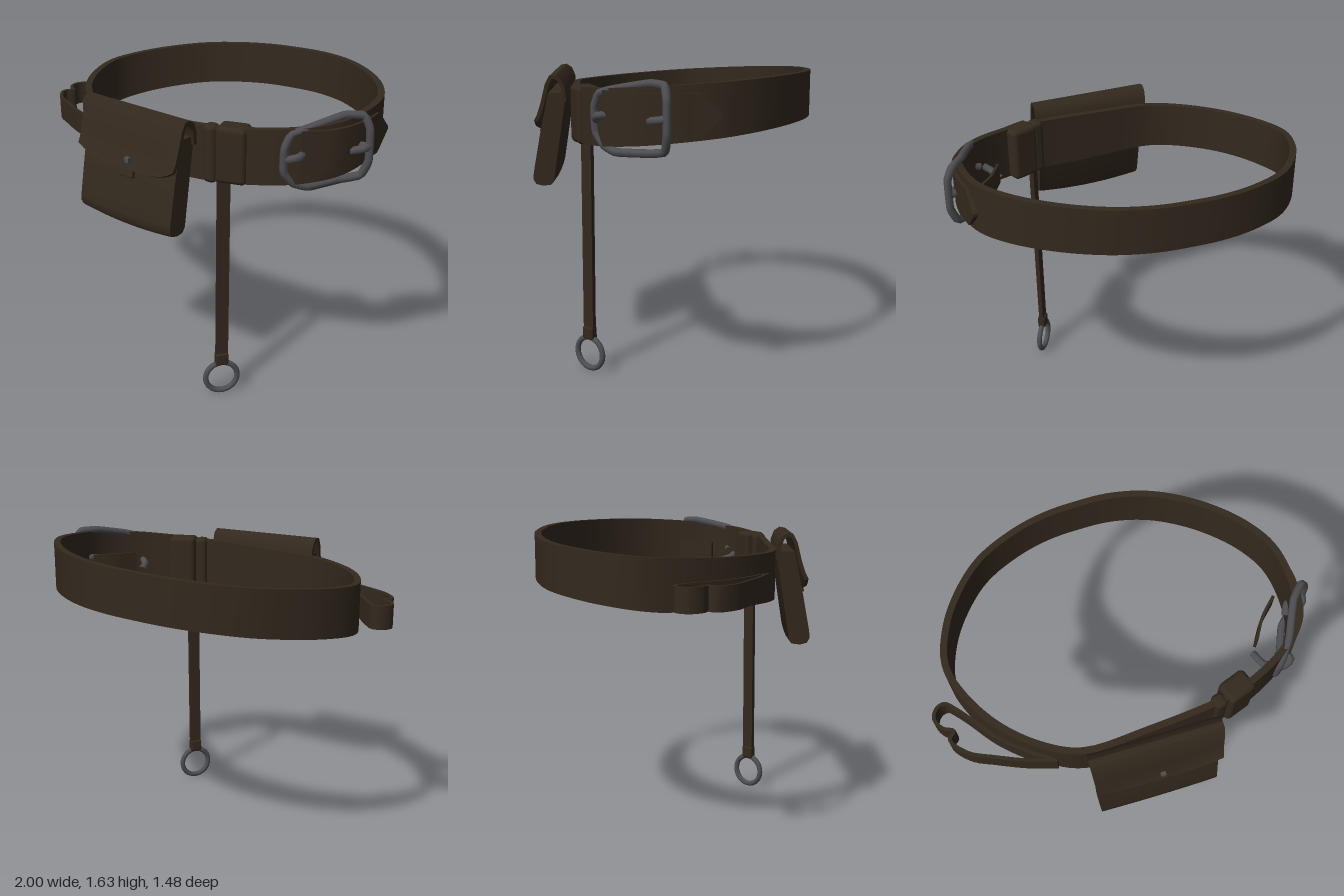
import * as THREE from 'three';
import { toCreasedNormals } from 'three/addons/utils/BufferGeometryUtils.js';
import { RoundedBoxGeometry } from 'three/addons/geometries/RoundedBoxGeometry.js';

const leather = new THREE.MeshStandardMaterial({ color: 0x33291e });
leather.name = 'dark brown leather';
const metal = new THREE.MeshStandardMaterial({ color: 0x4e4e52 });
metal.name = 'dark grey metal';

const V = (x, y, z) => new THREE.Vector3(x, y, z);

function part(name, geometry, material, x = 0, y = 0, z = 0) {
  const mesh = new THREE.Mesh(geometry, material);
  mesh.name = name;
  mesh.position.set(x, y, z);
  return mesh;
}

// Skin a series of equal-length rings into a solid; faces are turned outward by signed volume
function loft(rings, closed = false) {
  const tris = [];
  const n = rings[0].length;
  const count = closed ? rings.length : rings.length - 1;
  for (let i = 0; i < count; i++) {
    const a = rings[i], b = rings[(i + 1) % rings.length];
    for (let j = 0; j < n; j++) {
      const k = (j + 1) % n;
      tris.push([a[j], b[j], b[k]], [a[j], b[k], a[k]]);
    }
  }
  if (!closed) {
    const cap = (ring, flip) => {
      const pts = ring.map((p) => new THREE.Vector2(p.z, p.y));
      const wound = THREE.ShapeUtils.area(pts) > 0;
      for (const [i, j, k] of THREE.ShapeUtils.triangulateShape(pts, [])) {
        // Keep cap winding in step with the ring's own order
        const left = pts[j].clone().sub(pts[i]).cross(pts[k].clone().sub(pts[i])) > 0;
        const [p, q, r] = [ring[i], ring[j], ring[k]];
        tris.push((left === wound) === flip ? [p, r, q] : [p, q, r]);
      }
    };
    cap(rings[0], false);
    cap(rings[rings.length - 1], true);
  }
  let volume = 0;
  for (const [a, b, c] of tris) volume += a.dot(b.clone().cross(c));
  const pos = [];
  for (const [a, b, c] of tris) {
    for (const p of volume < 0 ? [a, c, b] : [a, b, c]) pos.push(p.x, p.y, p.z);
  }
  const g = new THREE.BufferGeometry();
  g.setAttribute('position', new THREE.Float32BufferAttribute(pos, 3));
  return toCreasedNormals(g, 0.7);
}

// Upright leather strip following a plan path of [x, z]; span gives its [bottom, top]
function strip(path, thick, steps, span, closed = false) {
  const curve = new THREE.CatmullRomCurve3(path.map(([x, z]) => V(x, 0, z)), closed);
  const rings = [];
  for (let i = 0; i < (closed ? steps : steps + 1); i++) {
    const t = i / steps;
    const p = curve.getPoint(t), d = curve.getTangent(t);
    const nx = -d.z * thick / 2, nz = d.x * thick / 2;
    const [lo, hi] = span(p, t);
    rings.push([V(p.x + nx, lo, p.z + nz), V(p.x + nx, hi, p.z + nz),
      V(p.x - nx, hi, p.z - nz), V(p.x - nx, lo, p.z - nz)]);
  }
  return loft(rings, closed);
}

// Offset an open [z, y] profile inward to give it thickness
function thicken(profile, t) {
  const inner = profile.map(([z, y], i) => {
    const a = profile[Math.max(i - 1, 0)], b = profile[Math.min(i + 1, profile.length - 1)];
    const dz = b[0] - a[0], dy = b[1] - a[1], l = Math.hypot(dz, dy);
    return [z + dy / l * t, y - dz / l * t];
  });
  return [...profile, ...inner.reverse()];
}

function tube(points, radius, closed) {
  const curve = new THREE.CatmullRomCurve3(points.map((p) => V(...p)), closed, 'catmullrom', 0.2);
  return new THREE.TubeGeometry(curve, closed ? 72 : 24, radius, 8, closed);
}

export function createModel() {
  const model = new THREE.Group();
  model.name = 'belt with pouch';

  // Main belt, slightly tilted up towards the back and left
  const top = (p) => 1.556 + 0.055 * p.x - 0.06 * p.z;
  const bottom = (p) => Math.max(1.25, 1.292 + 0.05 * p.x - 0.095 * p.z);
  const loop = [[0, -0.72], [0.17, -0.712], [0.35, -0.668], [0.505, -0.593], [0.65, -0.49], [0.785, -0.355],
    [0.88, -0.195], [0.908, 0], [0.88, 0.18], [0.77, 0.325], [0.6, 0.425], [0.4, 0.488], [0, 0.525],
    [-0.33, 0.53], [-0.5, 0.452], [-0.68, 0.295], [-0.81, 0.09], [-0.86, -0.09], [-0.805, -0.285],
    [-0.7, -0.445], [-0.555, -0.58], [-0.35, -0.672], [-0.17, -0.712]];
  model.add(part('beltStrap', strip(loop, 0.035, 115, (p) => [bottom(p), top(p)], true), leather));

  // Pointed free end lying over the belt, and the folded end inside the buckle
  const tongue = [[0.79, 0.335], [0.9, 0.19], [0.93, 0], [0.92, -0.1], [0.915, -0.215]];
  model.add(part('beltTip', strip(tongue, 0.025, 24, (p, t) => {
    const k = t < 0.8 ? 1 : 1 - (t - 0.8) / 0.2 * 0.92;
    return [1.465 - 0.105 * k, 1.465 + 0.105 * k];
  }), leather));
  model.add(part('buckleFold', strip([[0.67, 0.22], [0.74, 0.11], [0.83, 0.02]], 0.015, 10,
    () => [1.37, 1.48]), leather));

  // Buckle frame with a looped prong on each end bar
  const buckle = new THREE.Group();
  buckle.name = 'buckle';
  buckle.add(part('buckleFrame', tube([[0.75, 1.3, 0.34], [0.725, 1.36, 0.38], [0.73, 1.48, 0.385],
    [0.75, 1.55, 0.36], [0.8, 1.575, 0.29], [0.88, 1.61, 0.12], [0.945, 1.605, 0.05], [0.978, 1.54, 0.04],
    [0.98, 1.38, 0.04], [0.945, 1.3, 0.05], [0.87, 1.28, 0.12], [0.8, 1.275, 0.28]], 0.021, true), metal));
  const prongs = [
    [[0.65, 1.37, 0.25], [0.68, 1.39, 0.33], [0.75, 1.43, 0.38], [0.8, 1.45, 0.365], [0.79, 1.45, 0.32],
      [0.74, 1.43, 0.32]],
    [[0.86, 1.44, 0.13], [0.89, 1.45, 0.07], [0.975, 1.455, 0.045], [0.97, 1.45, 0.08], [0.92, 1.44, 0.12]],
  ];
  for (const p of prongs) buckle.add(part('buckleProng', tube(p, 0.02, false), metal));
  model.add(buckle);

  // Keeper loops wrapped around the belt
  const keepers = [[0.475, 1.415, 0.448, 0.155, 0.29, 0.12, 0.35], [0.37, 1.405, 0.49, 0.07, 0.3, 0.075, 0.2]];
  for (const [x, y, z, w, h, d, turn] of keepers) {
    const k = part('beltKeeper', new RoundedBoxGeometry(w, h, d, 3, 0.025), leather, x, y, z);
    k.rotation.y = turn;
    model.add(k);
  }

  // Pouch body and flap, lofted across x
  const pouch = new THREE.Group();
  pouch.name = 'pouch';
  const across = Array.from({ length: 17 }, (_, i) => -1 + i / 8);
  const bodyProfile = [[0.558, 1.5], [0.652, 1.5], [0.7, 1.28], [0.738, 1.08], [0.74, 1.045], [0.727, 1.02],
    [0.69, 1.01], [0.65, 1.015], [0.632, 1.04]];
  pouch.add(part('pouchBody', loft(across.map((u) => bodyProfile.map(([z, y]) =>
    V(0.005 + u * 0.312, y < 1.1 ? y - 0.02 * (1 - u * u) : y, z)))), leather));
  pouch.add(part('pouchFlap', loft(across.map((u) => {
    const end = 1.3 + 0.06 * u ** 4;
    const ring = thicken([[0.556, 1.46], [0.562, 1.53], [0.58, 1.575], [0.61, 1.595], [0.642, 1.59],
      [0.664, 1.55], [0.69, 1.45], [0.71, end + 0.03], [0.726, end]], 0.02);
    return ring.map(([z, y]) => V(0.005 + u * 0.334 * (1 - 0.12 * (1.59 - y)), y, z));
  })), leather));
  const tab = part('pouchTab', new RoundedBoxGeometry(0.09, 0.06, 0.02, 1, 0.006), leather, 0.015, 1.287, 0.715);
  tab.rotation.x = -0.2;
  pouch.add(tab);
  pouch.add(part('pouchStud', new THREE.BoxGeometry(0.026, 0.026, 0.02), metal, 0.02, 1.346, 0.715));
  model.add(pouch);

  // Side strap curling into a loop and back along the right of the belt
  const curl = [[-0.46, 0.51], [-0.6, 0.465], [-0.75, 0.4], [-0.87, 0.34], [-0.94, 0.25], [-0.91, 0.21],
    [-0.96, 0.18], [-0.99, 0.12], [-0.965, 0.07], [-0.92, 0.058], [-0.875, 0.1], [-0.83, 0.155],
    [-0.72, 0.3], [-0.59, 0.42], [-0.48, 0.495]];
  model.add(part('sideLoop', strip(curl, 0.018, 84, (p) => {
    const y = 1.325 + 0.015 * Math.min(1, Math.max(0, (p.x + 1) / 0.5));
    return [y - 0.062, y + 0.062];
  }), leather));

  // Hanging strap with a ring at its end
  const hanger = new THREE.Group();
  hanger.name = 'hangingStrap';
  const strap = part('strap', new THREE.BoxGeometry(0.065, 1.03, 0.024), leather, 0.005, 0.765, 0);
  strap.rotation.z = -0.008;
  hanger.add(strap);
  hanger.add(part('strapEnd', new RoundedBoxGeometry(0.07, 0.07, 0.045, 2, 0.01), leather, 0, 0.22, 0));
  hanger.add(part('strapRing', new THREE.TorusGeometry(0.087, 0.015, 10, 40), metal, 0, 0.105, 0));
  hanger.position.set(0.405, 0, 0.453);
  hanger.rotation.y = 0.927;
  model.add(hanger);

  return model;
}
